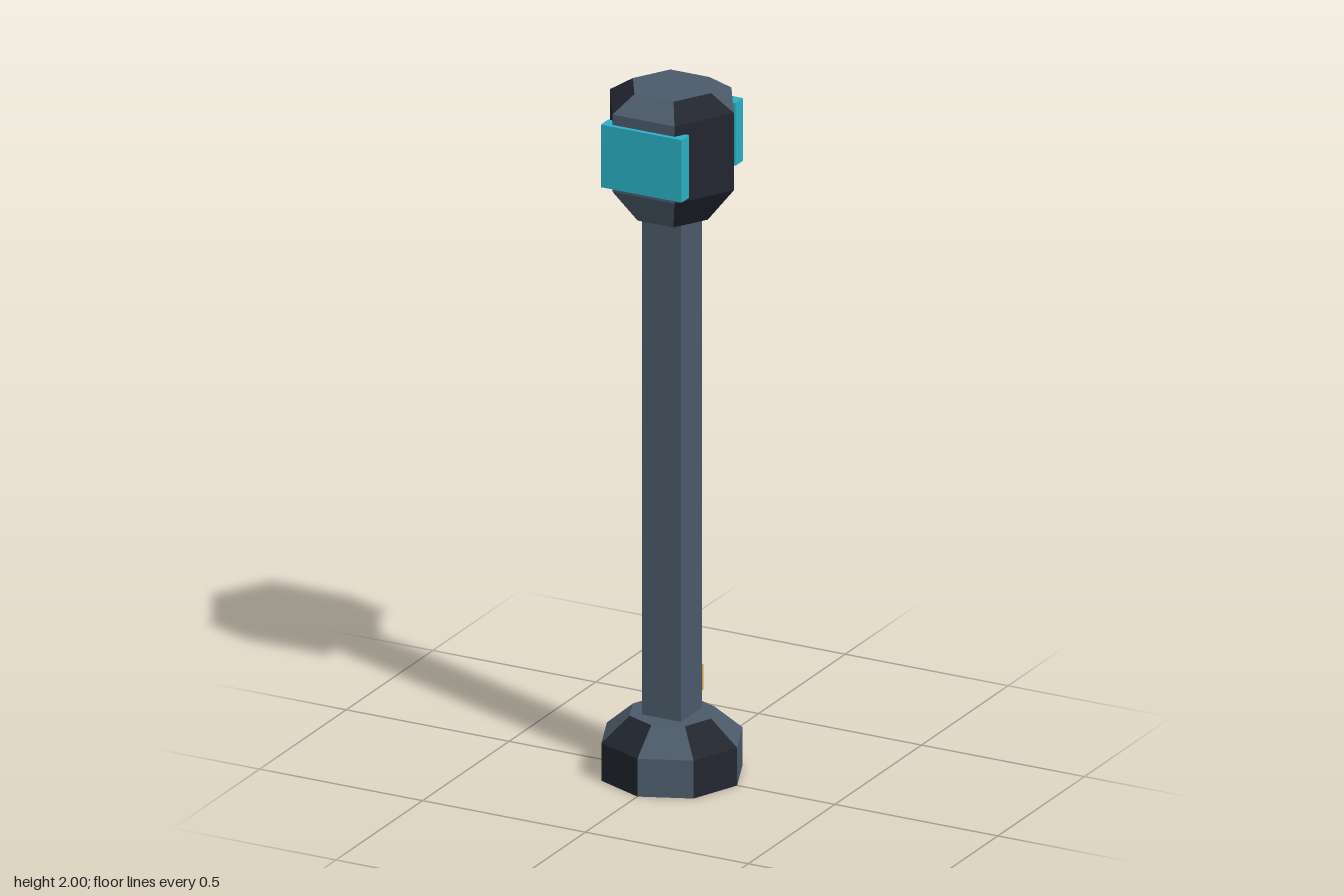
import * as THREE from 'three';
import { mergeGeometries } from 'three/addons/utils/BufferGeometryUtils.js';

const material = (color) => new THREE.MeshStandardMaterial({ color, flatShading: true });
const slate = material(0x4b5a69);
const dark = material(0x22262f);
const cyan = material(0x2ab0c4);
const gold = material(0xd2a245);

// Box given by its centre and size
function box(name, mat, [x, y, z], [w, h, d]) {
  const mesh = new THREE.Mesh(new THREE.BoxGeometry(w, h, d), mat);
  mesh.position.set(x, y, z);
  mesh.name = name;
  return mesh;
}

// Closed prism through [radius, y] rings, its facets alternating dark and light
function twoToneBody(name, sides, rings) {
  const step = (Math.PI * 2) / sides;
  const tones = [[], []];
  for (let i = 0; i < rings.length - 1; i++) {
    const [r0, y0] = rings[i];
    const [r1, y1] = rings[i + 1];
    for (let k = 0; k < sides; k++) {
      const start = Math.PI / 2 - (k + 1) * step;
      const facet = new THREE.CylinderGeometry(r1, r0, y1 - y0, 1, 1, true, start, step);
      tones[k % 2].push(facet.translate(0, (y0 + y1) / 2, 0));
    }
  }
  // End caps
  const [rb, yb] = rings[0];
  const [rt, yt] = rings[rings.length - 1];
  tones[1].push(new THREE.CircleGeometry(rb, sides).rotateX(Math.PI / 2).translate(0, yb, 0));
  tones[1].push(new THREE.CircleGeometry(rt, sides).rotateX(-Math.PI / 2).translate(0, yt, 0));

  const group = new THREE.Group();
  group.name = name;
  [dark, slate].forEach((mat, i) => {
    const mesh = new THREE.Mesh(mergeGeometries(tones[i]), mat);
    mesh.name = name + (i ? 'LightFacets' : 'DarkFacets');
    group.add(mesh);
  });
  return group;
}

export function createModel() {
  const model = new THREE.Group();
  model.name = 'beaconPost';

  // Octagonal foot, square pole and hexagonal head
  model.add(twoToneBody('base', 8, [[0.2, 0], [0.2, 0.11], [0.12, 0.18]]));
  model.add(box('pole', slate, [0, 0.9, 0], [0.12, 1.48, 0.12]));
  model.add(twoToneBody('head', 6, [[0.11, 1.63], [0.19, 1.73], [0.19, 1.955], [0.12, 2]]));

  // Panels on the front and back of the head
  for (const [name, side] of [['frontPanel', 1], ['backPanel', -1]]) {
    model.add(box(name, cyan, [0, 1.834, side * 0.156], [0.248, 0.182, 0.044]));
  }

  // Light strip and small plate behind the pole
  model.add(box('lightStrip', cyan, [0, 0.95, -0.07], [0.035, 1.2, 0.024]));
  model.add(box('plate', gold, [0, 0.252, -0.089], [0.085, 0.074, 0.028]));

  return model;
}
